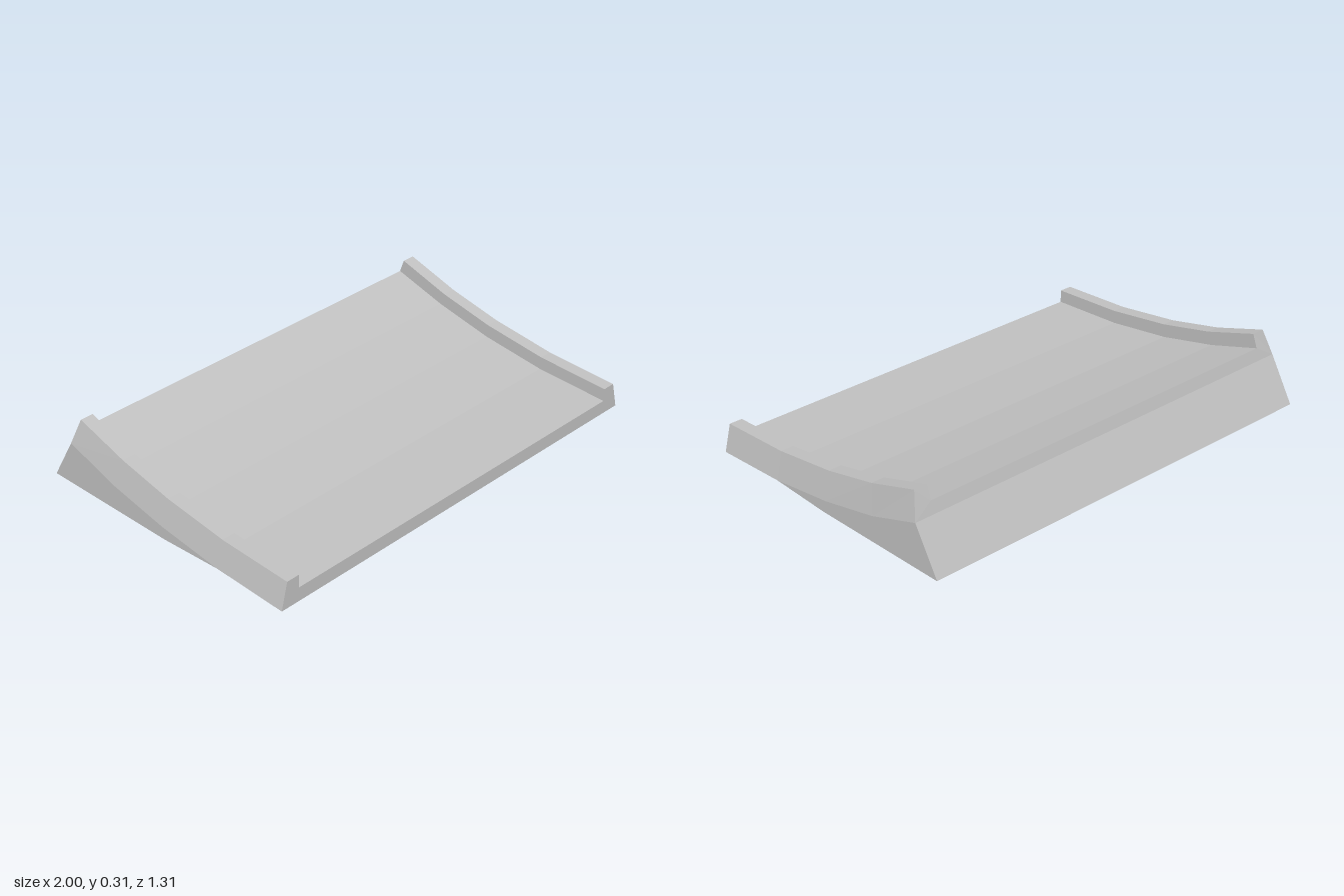
import * as THREE from 'three';

// Stations from front to back, each [z, y] for: ground edge, side bend, curb top, deck
const STATIONS = [
  { ground: [0.655, 0], bend: [0.655, 0], top: [0.655, 0.12], deck: [0.655, 0.062] },
  { ground: [0.305, 0.015], bend: [0.305, 0.015], top: [0.31, 0.135], deck: [0.307, 0.076] },
  { ground: [0.01, 0], bend: [-0.005, 0.055], top: [0.005, 0.175], deck: [0, 0.115] },
  { ground: [-0.32, 0], bend: [-0.29, 0.115], top: [-0.255, 0.232], deck: [-0.275, 0.175] },
  { ground: [-0.655, 0], bend: [-0.54, 0.197], top: [-0.503, 0.31], deck: [-0.525, 0.25] },
];

// Cross-section loop of ten points, counter-clockwise seen from the front
function makeRing({ ground, bend, top, deck }) {
  const half = [[1, ground], [1, bend], [0.97, top], [0.91, top], [0.91, deck]];
  const right = half.map(([x, p]) => new THREE.Vector3(x, p[1], p[0]));
  const left = right.map((p) => new THREE.Vector3(-p.x, p.y, p.z)).reverse();
  return [...right, ...left];
}

// Flat-faced geometry from quads, leaving out collapsed triangles
function quadGeometry(quads) {
  const points = [];
  for (const [a, b, c, d] of quads) {
    for (const [p, q, r] of [[a, b, c], [a, c, d]]) {
      if (new THREE.Triangle(p, q, r).getArea() > 1e-7) points.push(p, q, r);
    }
  }
  const geometry = new THREE.BufferGeometry().setFromPoints(points);
  geometry.computeVertexNormals();
  return geometry;
}

export function createModel() {
  const group = new THREE.Group();
  group.name = 'curvedRamp';
  const grey = new THREE.MeshStandardMaterial({ color: 0xc0c0c0, flatShading: true });
  grey.name = 'light grey';

  const rings = STATIONS.map(makeRing);
  const front = rings[0];
  const back = rings[rings.length - 1];

  // Joins the given loop edges from station to station, and closes both ends
  function addPart(name, edges, caps) {
    const quads = [];
    for (let s = 0; s < rings.length - 1; s++) {
      const a = rings[s], b = rings[s + 1];
      for (const i of edges) {
        const j = (i + 1) % 10;
        quads.push([a[i], b[i], b[j], a[j]]);
      }
    }
    for (const cap of caps) {
      quads.push(cap.map((i) => front[i]));
      quads.push([...cap].reverse().map((i) => back[i]));
    }
    const mesh = new THREE.Mesh(quadGeometry(quads), grey);
    mesh.name = name;
    group.add(mesh);
  }

  // Sloped deck with its front and rear edge
  addPart('deck', [4], [[4, 5, 8, 1]]);
  // Raised curbs with slanted outer faces
  addPart('leftCurb', [1, 2, 3], [[1, 2, 3, 4]]);
  addPart('rightCurb', [5, 6, 7], [[5, 6, 7, 8]]);
  // Underside, upright side walls and rear slope
  addPart('base', [0, 8, 9], [[0, 1, 8, 9]]);

  return group;
}
